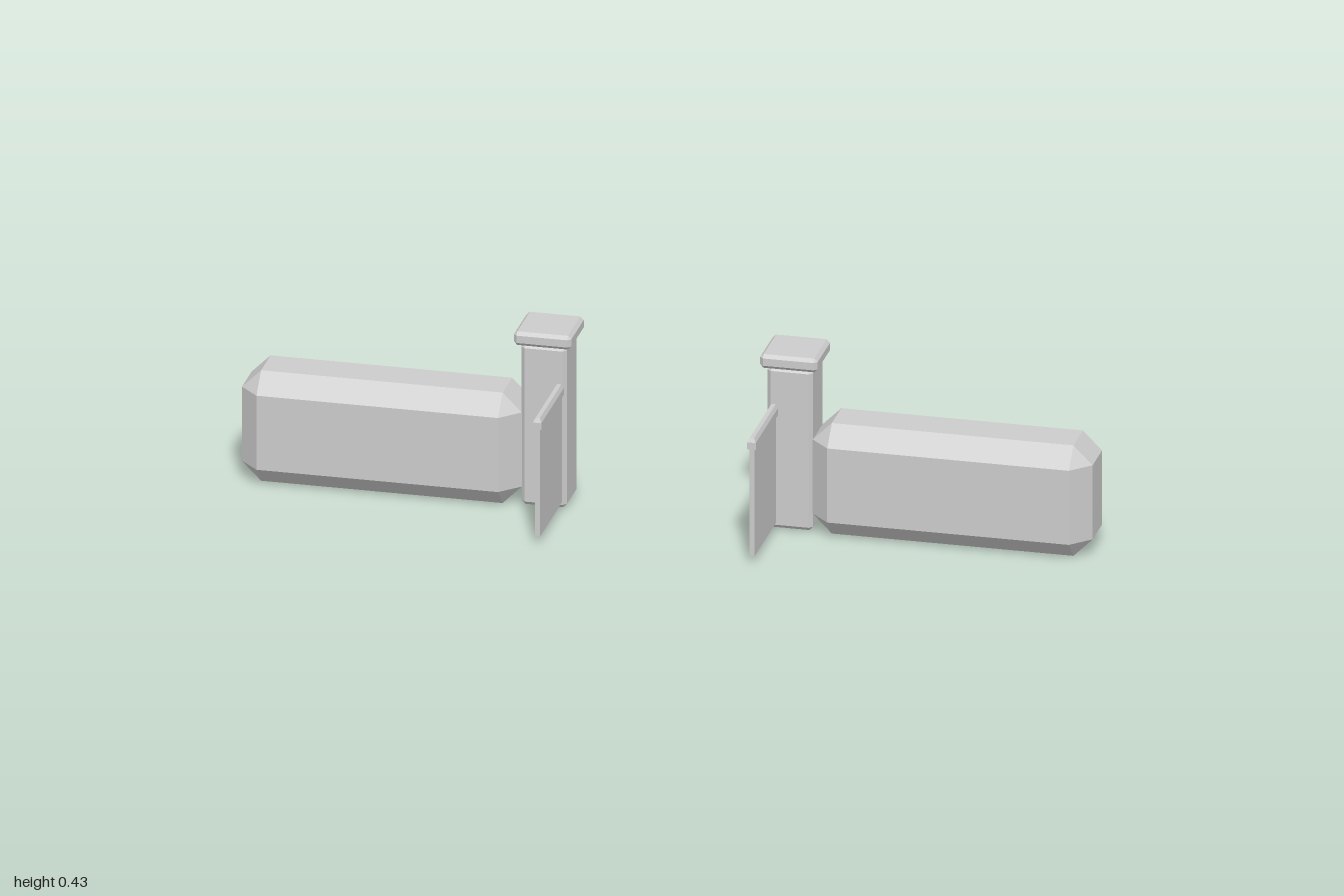
import * as THREE from 'three';
import { ConvexGeometry } from 'three/addons/geometries/ConvexGeometry.js';

const stone = new THREE.MeshStandardMaterial({ color: 0xcccccc });
stone.name = 'pale grey';

// Box between two corners with every edge chamfered by c
function chamferBox(min, max, c) {
  const mid = min.map((v, i) => (v + max[i]) / 2);
  const half = min.map((v, i) => (max[i] - v) / 2);
  const points = [];
  for (const sx of [-1, 1]) for (const sy of [-1, 1]) for (const sz of [-1, 1]) {
    const s = [sx, sy, sz];
    for (let axis = 0; axis < 3; axis++) {
      const p = s.map((sign, i) => mid[i] + sign * (half[i] - (i === axis ? 0 : c)));
      points.push(new THREE.Vector3(...p));
    }
  }
  return new ConvexGeometry(points);
}

// Handrail: flat underside, upright sides and a bevelled top
function railGeometry(min, max, inset, rise) {
  const points = [];
  for (const [y, k] of [[min[1], 0], [max[1] - rise, 0], [max[1], inset]]) {
    for (const x of [min[0] + k, max[0] - k]) {
      for (const z of [min[2], max[2] - k]) points.push(new THREE.Vector3(x, y, z));
    }
  }
  return new ConvexGeometry(points);
}

function part(name, geometry) {
  const mesh = new THREE.Mesh(geometry, stone);
  mesh.name = name;
  return mesh;
}

// One side of the gateway; side is +1 for left and -1 for right
function gateSide(side) {
  const group = new THREE.Group();
  group.name = side > 0 ? 'leftGateSide' : 'rightGateSide';
  const box = (name, x0, x1, y0, y1, z0, z1, c) => {
    const xs = [x0 * side, x1 * side].sort((a, b) => a - b);
    group.add(part(name, chamferBox([xs[0], y0, z0], [xs[1], y1, z1], c)));
  };
  box('hedge', 0.342, 1, 0, 0.273, -0.179, 0.003, 0.045);
  box('post', 0.236, 0.343, 0.003, 0.4, -0.143, -0.034, 0.009);
  box('postCap', 0.222, 0.357, 0.4, 0.434, -0.156, -0.02, 0.008);

  // Open gate leaf swung towards the front
  const leaf = new THREE.BoxGeometry(0.012, 0.267, 0.215);
  leaf.translate(0.252 * side, 0.1515, 0.0675);
  group.add(part('gatePanel', leaf));
  const railX = 0.252 * side;
  group.add(part('gateRail',
    railGeometry([railX - 0.01, 0.283, -0.04], [railX + 0.01, 0.31, 0.18], 0.005, 0.01)));
  return group;
}

export function createModel() {
  const model = new THREE.Group();
  model.name = 'gateway';
  for (const side of [-1, 1]) model.add(gateSide(side));
  return model;
}
